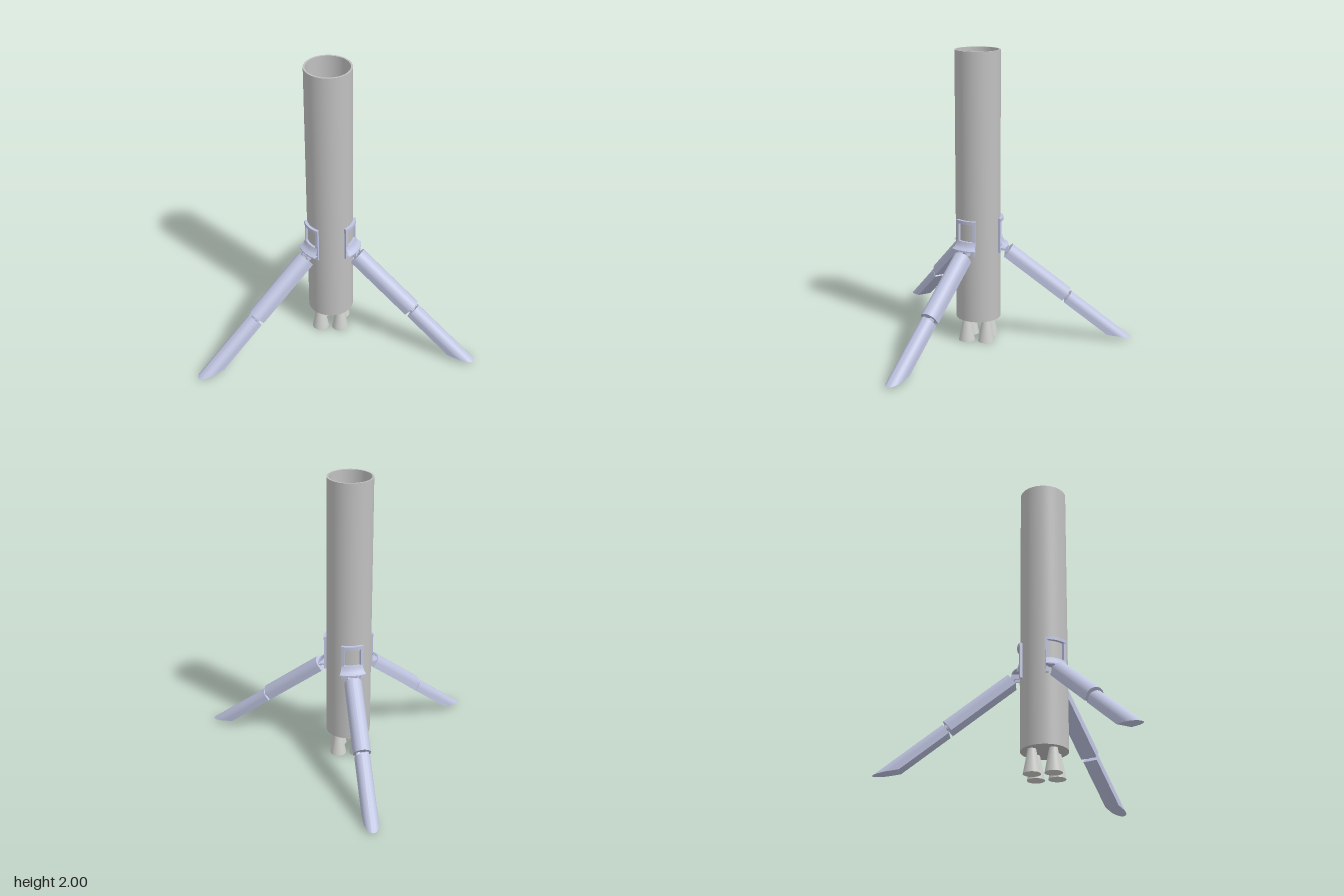
import * as THREE from 'three';
import { toCreasedNormals } from 'three/addons/utils/BufferGeometryUtils.js';

const hullGrey = new THREE.MeshStandardMaterial({ color: 0xc0c0c0 });
hullGrey.name = 'hull grey';
const nozzleGrey = new THREE.MeshStandardMaterial({ color: 0xcfd1cd });
nozzleGrey.name = 'nozzle grey';
const legBlue = new THREE.MeshStandardMaterial({ color: 0xbfc4e0, side: THREE.DoubleSide });
legBlue.name = 'leg pale blue';

function add(parent, name, geometry, material, x = 0, y = 0, z = 0) {
  const mesh = new THREE.Mesh(geometry, material);
  mesh.name = name;
  mesh.position.set(x, y, z);
  parent.add(mesh);
  return mesh;
}

const profile = (pairs) => pairs.map(([r, y]) => new THREE.Vector2(r, y));

// Curved plate wrapped round the hull, between two angles and two heights
function arcPlate(r0, r1, a0, a1, y0, y1) {
  const shape = new THREE.Shape();
  shape.absarc(0, 0, r1, a0, a1, false);
  shape.absarc(0, 0, r0, a1, a0, true);
  const geo = new THREE.ExtrudeGeometry(shape, { depth: y1 - y0, bevelEnabled: false, curveSegments: 10 });
  geo.rotateX(-Math.PI / 2);
  geo.translate(0, y0, 0);
  return toCreasedNormals(geo, 0.6);
}

// Flat-bottomed, round-topped beam along +x; ends slope from the bottom length to the top length
function beam(radius, top, bottom, start, endBottom, endTop) {
  const shape = new THREE.Shape();
  shape.moveTo(-radius, bottom);
  shape.lineTo(radius, bottom);
  shape.lineTo(radius, top - radius);
  shape.absarc(0, top - radius, radius, 0, Math.PI, false);
  shape.lineTo(-radius, bottom);
  const geo = new THREE.ExtrudeGeometry(shape, { depth: 1, bevelEnabled: false, curveSegments: 24 });
  geo.rotateY(Math.PI / 2);
  const p = geo.attributes.position;
  for (let i = 0; i < p.count; i++) {
    const t = (p.getY(i) - bottom) / (top - bottom);
    p.setX(i, p.getX(i) < 0.5 ? start : endBottom + (endTop - endBottom) * t);
  }
  return toCreasedNormals(geo, 0.6);
}

function pin(parent, name, radius, length, x, y, z) {
  add(parent, name, new THREE.CylinderGeometry(radius, radius, length, 16), legBlue, x, y, z).rotation.x = Math.PI / 2;
}

// One leg assembly pointing along +x
function createLeg() {
  const assembly = new THREE.Group();
  assembly.name = 'landingLeg';

  // Window frame on the hull
  const bracket = new THREE.Group();
  bracket.name = 'legBracket';
  assembly.add(bracket);
  for (const s of [-1, 1]) {
    const a = s * 0.405;
    add(bracket, 'bracketRail', arcPlate(0.147, 0.168, a - 0.06, a + 0.06, 0.63, 0.86), legBlue);
  }
  add(bracket, 'bracketTopBar', arcPlate(0.147, 0.172, -0.465, 0.465, 0.85, 0.872), legBlue);
  add(bracket, 'bracketBottomBar', arcPlate(0.147, 0.167, -0.4, 0.4, 0.675, 0.725), legBlue);

  // Flared skirt below the window
  const flare = profile([[0.15, 0.668], [0.207, 0.668], [0.207, 0.676], [0.186, 0.689], [0.174, 0.705], [0.168, 0.728], [0.15, 0.728]]);
  const flareGeo = new THREE.LatheGeometry(flare, 16, Math.PI / 2 - 0.45, 0.9);
  add(bracket, 'bracketFlare', toCreasedNormals(flareGeo, 0.6), legBlue);

  // Hinge at the hull
  for (const s of [-1, 1]) {
    pin(assembly, 'hipKnuckle', 0.016, 0.016, 0.195, 0.645, s * 0.03);
    add(assembly, 'hipLug', new THREE.BoxGeometry(0.05, 0.03, 0.012), legBlue, 0.18, 0.652, s * 0.03);
  }
  pin(assembly, 'hipPin', 0.008, 0.08, 0.195, 0.645, 0);

  // Sloping strut in two sections
  const strut = new THREE.Group();
  strut.name = 'legStrut';
  strut.position.set(0.24, 0.67, 0);
  strut.rotation.z = -THREE.MathUtils.degToRad(38);
  assembly.add(strut);
  add(strut, 'upperLeg', beam(0.057, 0, -0.094, -0.005, 0.5, 0.5), legBlue);
  add(strut, 'lowerLeg', beam(0.05, -0.014, -0.097, 0.52, 0.9, 1.05), legBlue);

  // Knee hinge between the sections
  for (const s of [-1, 1]) {
    add(strut, 'kneeLug', new THREE.BoxGeometry(0.04, 0.03, 0.014), legBlue, 0.51, -0.05, s * 0.025);
  }
  pin(strut, 'kneePin', 0.012, 0.08, 0.51, -0.05, 0);
  return assembly;
}

export function createModel() {
  const model = new THREE.Group();
  model.name = 'boosterRocket';
  const rocket = new THREE.Group();
  rocket.name = 'rocket';
  rocket.position.set(-0.13, 0, 0.14);
  model.add(rocket);

  // Hollow hull, open at the top
  const hull = profile([[0, 0.16], [0.152, 0.16], [0.152, 2], [0.14, 2], [0.14, 0.18], [0, 0.18]]);
  add(rocket, 'hull', toCreasedNormals(new THREE.LatheGeometry(hull, 64), 0.6), hullGrey);

  // Four engine nozzles
  for (let i = 0; i < 4; i++) {
    const a = THREE.MathUtils.degToRad(40 + 90 * i);
    add(rocket, 'engineNozzle', new THREE.CylinderGeometry(0.026, 0.056, 0.162, 32), nozzleGrey,
      0.095 * Math.cos(a), 0.081, 0.095 * Math.sin(a));
  }

  // Three legs spaced evenly
  for (let i = 0; i < 3; i++) {
    const leg = createLeg();
    leg.rotation.y = -THREE.MathUtils.degToRad(15.5 + 120 * i);
    rocket.add(leg);
  }
  return model;
}
